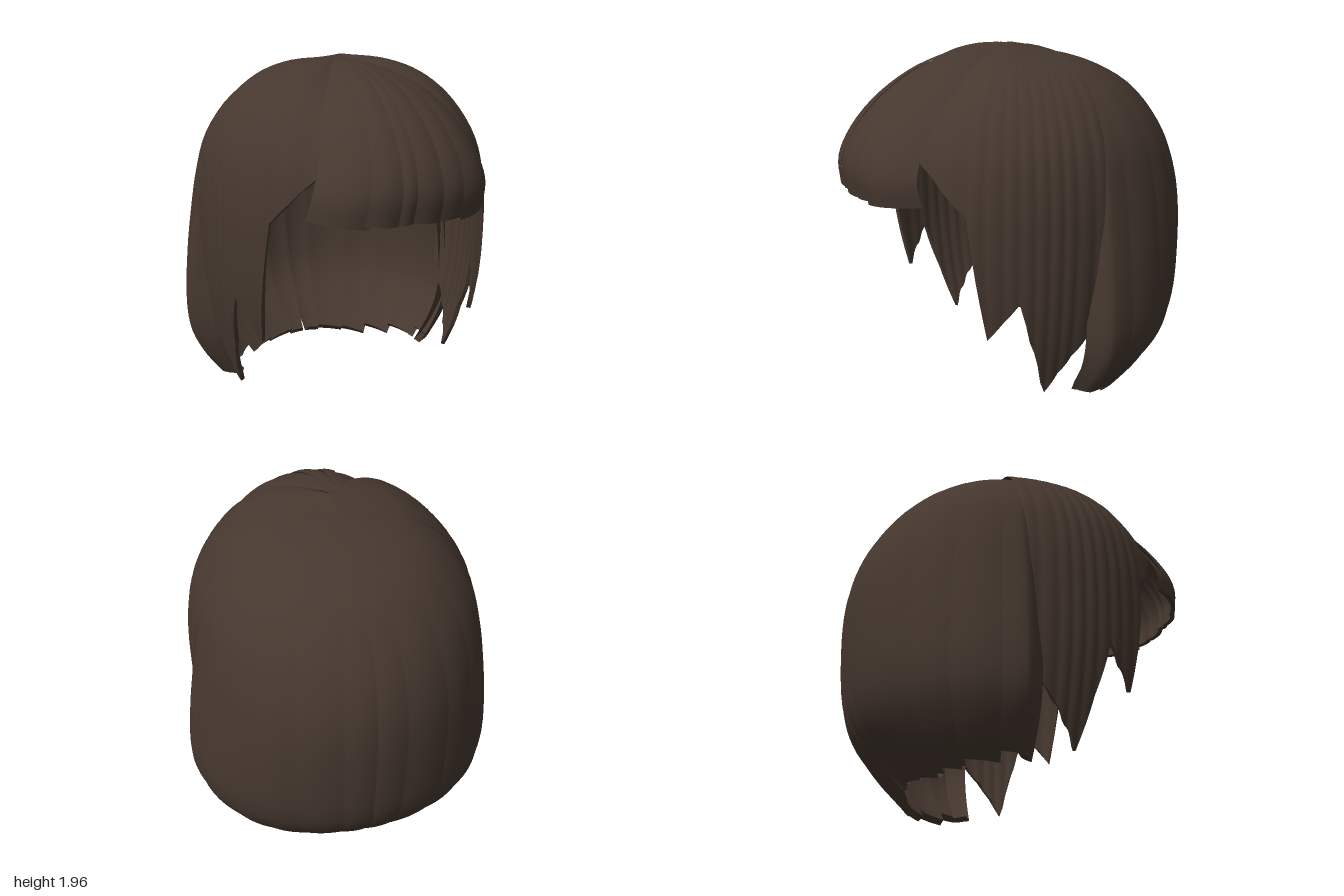
import * as THREE from 'three';

const hair = new THREE.MeshStandardMaterial({ color: 0x46382f, side: THREE.DoubleSide });
hair.name = 'dark brown hair';

// Smooth curve through [radius or depth, height] pairs
const curve = (pts) => new THREE.CatmullRomCurve3(pts.map(([a, b]) => new THREE.Vector3(a, b, 0)), false, 'centripetal');

function surface(pos, idx) {
  const g = new THREE.BufferGeometry();
  g.setAttribute('position', new THREE.Float32BufferAttribute(pos, 3));
  g.setIndex(idx);
  g.computeVertexNormals();
  return g;
}

// Lock from f(u, v) -> [x, y, z], with an inner wall and a rim along the tips; flip reverses the facing
function lock(name, nu, nv, f, thick, flip) {
  const pos = [], idx = [], row = nu + 1;
  for (let j = 0; j <= nv; j++)
    for (let i = 0; i <= nu; i++) pos.push(...f(i / nu, j / nv));
  for (let j = 0; j < nv; j++)
    for (let i = 0; i < nu; i++) {
      const a = j * row + i, b = a + 1, c = a + row, d = c + 1;
      idx.push(...(flip ? [a, b, c, b, d, c] : [a, c, b, b, c, d]));
    }
  const outer = surface(pos, idx);
  const n = outer.attributes.normal.array;
  const inPos = pos.map((p, k) => p - n[k] * thick * Math.min(1, Math.floor(k / 3 / row) / nv * 3));
  const inner = surface(inPos, idx.slice().reverse());
  const start = nv * row * 3, rimIdx = [];
  for (let i = 0; i < nu; i++) {
    const a = i, b = i + 1, c = row + i, d = c + 1;
    rimIdx.push(...(flip ? [a, b, c, b, d, c] : [a, c, b, b, c, d]));
  }
  const rim = surface([...pos.slice(start), ...inPos.slice(start)], rimIdx);
  const group = new THREE.Group();
  group.name = name;
  [['outerFace', outer], ['innerFace', inner], ['tipRim', rim]].forEach(([label, g]) => {
    const m = new THREE.Mesh(g, hair);
    m.name = label;
    group.add(m);
  });
  return group;
}

// Parameter at which a falling profile reaches height y
function paramAt(profile, y) {
  let lo = 0, hi = 1;
  for (let k = 0; k < 24; k++) {
    const mid = (lo + hi) / 2;
    if (profile(mid).y > y) lo = mid; else hi = mid;
  }
  return hi;
}

// Profiles from crown to tips
const backMid = curve([[0.0, 1.93], [0.3, 1.86], [0.56, 1.72], [0.74, 1.5], [0.83, 1.3], [0.87, 1.1],
  [0.87, 0.8], [0.835, 0.5], [0.775, 0.35], [0.655, 0.2], [0.475, 0.03], [0.445, 0]]);
const backSide = curve([[0.0, 1.93], [0.38, 1.86], [0.59, 1.72], [0.74, 1.5], [0.8, 1.27], [0.83, 1.08],
  [0.87, 0.8], [0.89, 0.52], [0.87, 0.35], [0.8, 0.2], [0.68, 0.04], [0.65, 0]]);
const frontSide = curve([[0.0, 1.965], [0.25, 1.94], [0.44, 1.87], [0.61, 1.73], [0.75, 1.5], [0.803, 1.25],
  [0.81, 1.0], [0.795, 0.7], [0.75, 0.4], [0.67, 0.08]]);
const fringeLine = curve([[0.03, 1.95], [0.25, 1.935], [0.42, 1.895], [0.6, 1.82], [0.8, 1.675], [0.94, 1.5],
  [0.995, 1.35], [0.98, 1.2]]);

// Back locks: [start angle, end angle, start tip, end tip], measured from the rear centre
const backLocks = [[0, 11, 0.05, 0.045], [11, 29, 0.055, 0.03], [29, 45, 0.04, 0.005],
  [45, 60, 0.05, 0.015], [60, 77, 0.06, 0.03], [77, 92, 0.08, 0.06]];

function backLock([a0, a1, y0, y1], side) {
  return lock('backLock', 8, 40, (u, v) => {
    // neighbours overlap slightly, except at the rear parting
    const deg = Math.max(0, a0 - 0.6 + (a1 - a0 + 1.2) * u), a = THREE.MathUtils.degToRad(deg);
    const w = Math.sin(a) ** 2;
    const profile = (s) => backMid.getPoint(s).lerp(backSide.getPoint(s), w);
    const tip = y0 + (y1 - y0) * u + (deg === 0 ? 0.16 : 0);
    const p = profile(paramAt(profile, tip) * v);
    // the front edge tucks in behind the side hair
    const tuck = 1 - 0.12 * THREE.MathUtils.smoothstep(deg, 86, 92.6);
    const r = p.x * tuck * (1 + 0.01 * Math.sin(Math.PI * u) * Math.min(1, v * 2));
    return [side * r * Math.sin(a), p.y, -0.12 - r * Math.cos(a)];
  }, 0.045, side > 0);
}

// Side curtain: [angle from the front centre, tip height]
const curtain = [[6, 1.75], [20, 1.53], [27, 1.49], [38, 1.36], [51, 1.17], [57.5, 0.48], [64, 0.6], [69.5, 0.7],
  [75, 0.4], [80, 0.12], [85, 0.24], [90, 0.34], [97, 0.46], [103, 0.6]];

function sideCurtain(side) {
  const profile = (s) => frontSide.getPoint(s);
  const spans = curtain.length - 1;
  return lock('sideCurtain', spans * 6, 32, (u, v) => {
    const i = Math.min(spans - 1, Math.floor(u * spans + 1e-6)), k = u * spans - i;
    const [a0, y0] = curtain[i], [a1, y1] = curtain[i + 1];
    const deg = a0 + (a1 - a0) * k, a = THREE.MathUtils.degToRad(deg);
    const p = profile(paramAt(profile, y0 + (y1 - y0) * k) * v);
    const r = p.x * (1 + 0.01 * Math.abs(Math.sin(Math.PI * k)) * Math.min(1, v * 2));
    // the rear edge reaches back over the crown, the front sinks under the fringe
    const reach = THREE.MathUtils.smoothstep(deg, 60, 103) * Math.max(0, 1 - r / 0.8);
    const sink = 0.08 * (1 - THREE.MathUtils.smoothstep(deg, 12, 55)) * Math.sin(Math.PI * v);
    return [side * r * 1.01 * Math.sin(a), p.y - sink - 0.03 * reach, r * 1.08 * Math.cos(a) - 0.17 * reach];
  }, 0.025, side < 0);
}

// Fringe locks: borders across the fringe, with small steps between neighbours
const fringeLocks = [[-1, -0.5, 0.015, -0.01], [-0.54, -0.22, 0.01, 0], [-0.24, -0.04, 0, 0.01],
  [-0.06, 0.24, 0.01, 0], [0.22, 0.54, 0, 0.01], [0.5, 1, -0.01, 0.015]];

function fringeLock([u0, u1, d0, d1], k) {
  return lock('fringeLock', 8, 26, (a, v) => {
    const u = u0 + (u1 - u0) * a;
    const p = fringeLine.getPoint(v);
    const spread = 0.05 + 0.46 * Math.sin(v * Math.PI / 2) ** 1.15;
    const bulge = 0.015 * Math.sin(Math.PI * a) * v + 0.008 * (k % 2);
    const sweep = -0.06 * (1 - v) + 0.05 * Math.sin(Math.PI * v);
    return [
      u * spread + sweep,
      p.y - 0.05 * u * u * Math.sin(Math.PI * v) + bulge * (1 - v) + (d0 + (d1 - d0) * a) * v,
      p.x - (0.1 * u * u + 0.13 * u ** 4) * Math.sin(v * Math.PI / 2) + bulge * v - 0.01 * v,
    ];
  }, 0.025, false);
}

export function createModel() {
  const model = new THREE.Group();
  model.name = 'bobHair';
  const back = new THREE.Group(), sides = new THREE.Group(), fringe = new THREE.Group();
  back.name = 'backHair';
  sides.name = 'sideHair';
  fringe.name = 'fringe';
  for (const side of [-1, 1]) {
    backLocks.forEach((l) => back.add(backLock(l, side)));
    sides.add(sideCurtain(side));
  }
  fringeLocks.forEach((l, k) => fringe.add(fringeLock(l, k)));
  model.add(back, sides, fringe);
  return model;
}
